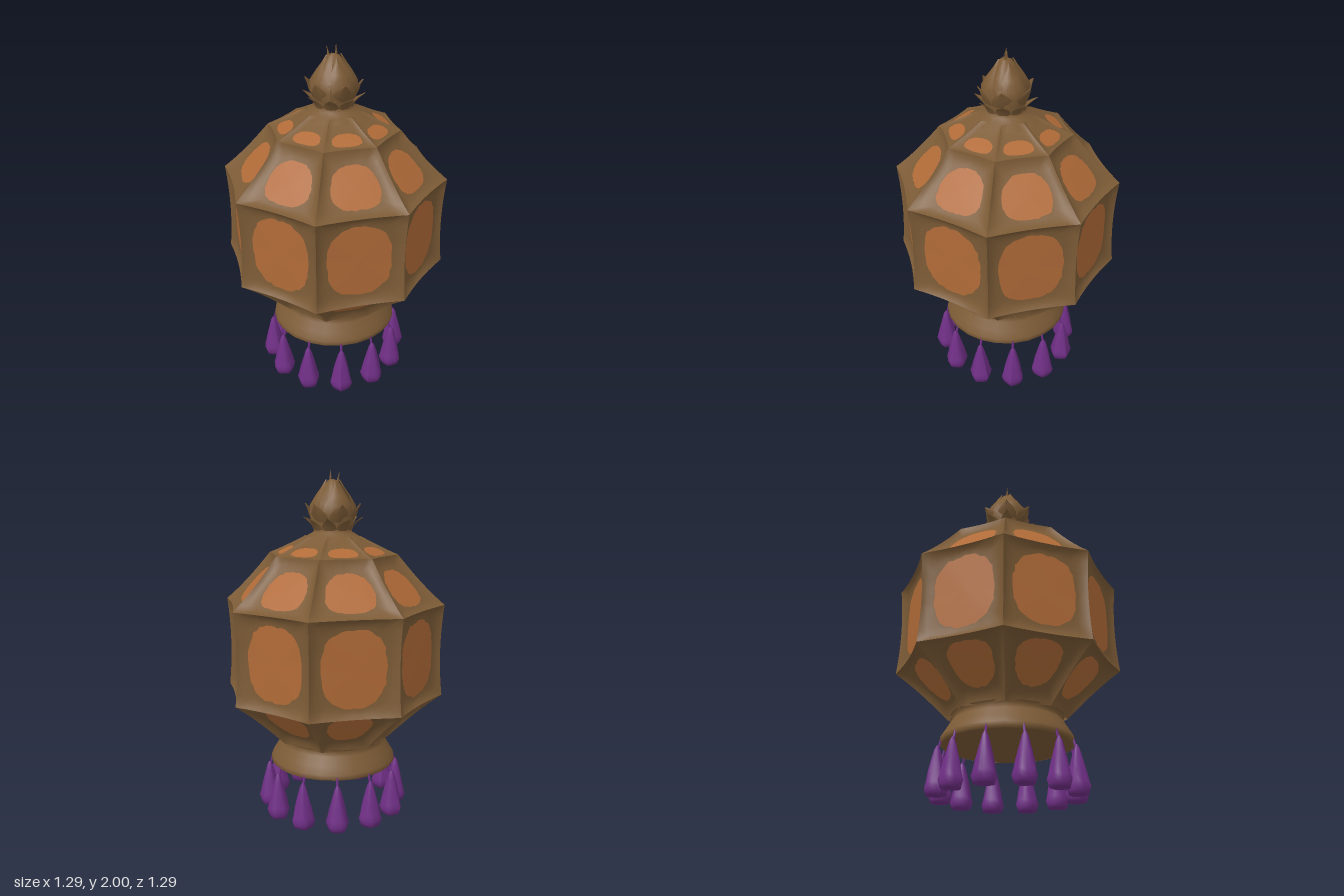
import * as THREE from 'three';

const brown = new THREE.MeshStandardMaterial({ color: 0x7c5b36, side: THREE.DoubleSide });
brown.name = 'aged bronze';
const amber = new THREE.MeshStandardMaterial({ color: 0xb16b38, side: THREE.DoubleSide });
amber.name = 'amber glass';
const purple = new THREE.MeshStandardMaterial({ color: 0x702f86, side: THREE.DoubleSide });
purple.name = 'purple silk';

const TAU = Math.PI * 2, SIDES = 8, N = 48;

// Small seeded generator for hand-made irregularity
let seed = 7;
const rand = () => (seed = (seed * 16807) % 2147483647) / 2147483647;

function add(parent, name, geometry, material) {
  const mesh = new THREE.Mesh(geometry, material);
  mesh.name = name;
  parent.add(mesh);
  return mesh;
}

function makeGeometry(points, index) {
  const g = new THREE.BufferGeometry();
  g.setAttribute('position', new THREE.Float32BufferAttribute(points, 3));
  g.setIndex(index);
  g.computeVertexNormals();
  return g;
}

function lathe(profile, segments) {
  return new THREE.LatheGeometry(profile.map(([r, y]) => new THREE.Vector2(r, y)), segments);
}

// One lantern facet facing +z: a dished frame around a rounded hole, and its glass pane
function facet({ y0, r0, y1, r1, a, b, vc, depth }) {
  const c = Math.cos(Math.PI / SIDES), s = Math.sin(Math.PI / SIDES);
  const normal = new THREE.Vector2(y1 - y0, (r0 - r1) * c).normalize(); // z, y
  const place = (u, v, d) => {
    const t = (v + 1) / 2, r = r0 + (r1 - r0) * t;
    const sag = 1 - 0.025 * (1 - u * u * v * v);
    return [u * r * s * sag, y0 + (y1 - y0) * t - normal.y * d, r * c * sag - normal.x * d];
  };
  const steps = [[0, 0], [0.12, 0.25], [0.4, 0.75], [0.75, 0.95], [1, 1]];
  const frame = [], frameIndex = [], pane = [...place(0, vc, depth * 0.9)], paneIndex = [];
  const wobble = Array.from({ length: N }, () => 0.97 + 0.06 * rand());
  steps.forEach(([t, d], k) => {
    for (let i = 0; i < N; i++) {
      const cs = Math.cos(i / N * TAU), sn = Math.sin(i / N * TAU);
      const m = Math.max(Math.abs(cs), Math.abs(sn));
      const e = wobble[i] / Math.pow(Math.abs(cs) ** 2.5 + Math.abs(sn) ** 2.5, 0.4);
      const u = THREE.MathUtils.lerp(cs / m, cs * e * a, t);
      const v = THREE.MathUtils.lerp(sn / m, vc + sn * e * b, t);
      const p = place(u, v, depth * d);
      frame.push(...p);
      const j = (i + 1) % N;
      if (k > 0) {
        const o = (k - 1) * N, n = k * N;
        frameIndex.push(o + i, o + j, n + j, o + i, n + j, n + i);
      }
      if (k === steps.length - 1) {
        pane.push(...p);
        paneIndex.push(0, i + 1, j + 1);
      }
    }
  });
  return [makeGeometry(frame, frameIndex), makeGeometry(pane, paneIndex)];
}

// Pointed leaf that follows a radius/height path, cupped around the axis
function leaf(path, width) {
  const pts = [], idx = [], cols = 4;
  path.forEach(([r, y], k) => {
    const t = k / (path.length - 1);
    const half = width * (1 - t ** 1.6) + 0.001;
    for (let i = 0; i <= cols; i++) {
      const w = (i / cols - 0.5) * 2;
      const ang = half * w;
      const rr = r + 0.008 * (1 - w * w);
      pts.push(Math.sin(ang) * rr, y, Math.cos(ang) * rr);
      if (k > 0 && i < cols) {
        const p = (k - 1) * (cols + 1) + i, q = p + cols + 1;
        idx.push(p, p + 1, q + 1, p, q + 1, q);
      }
    }
  });
  return makeGeometry(pts, idx);
}

function leafRing(parent, name, count, offset, path, width) {
  const g = leaf(path, width);
  for (let k = 0; k < count; k++) {
    const m = add(parent, name, g, brown);
    m.rotation.y = (k + offset) / count * TAU;
    m.scale.y = 1;
  }
}

export function createModel() {
  const model = new THREE.Group();
  model.name = 'hangingLantern';

  // Octagonal body in four bands
  const bands = [
    { name: 'lowerBand', y0: 0.44, r0: 0.335, y1: 0.72, r1: 0.645, a: 0.64, b: 0.68, vc: 0.1, depth: 0.03 },
    { name: 'middleBand', y0: 0.72, r0: 0.645, y1: 1.25, r1: 0.645, a: 0.74, b: 0.79, vc: 0, depth: 0.025 },
    { name: 'upperBand', y0: 1.25, r0: 0.645, y1: 1.53, r1: 0.375, a: 0.68, b: 0.66, vc: -0.05, depth: 0.025 },
    { name: 'capBand', y0: 1.53, r0: 0.375, y1: 1.63, r1: 0.16, a: 0.7, b: 0.42, vc: -0.35, depth: 0.008 },
  ];
  for (const band of bands) {
    const group = new THREE.Group();
    group.name = band.name;
    model.add(group);
    for (let k = 0; k < SIDES; k++) {
      const [frame, pane] = facet(band);
      for (const m of [add(group, 'facetFrame', frame, brown), add(group, 'glassPane', pane, amber)]) {
        m.rotation.y = (k + 0.5) / SIDES * TAU;
      }
    }
  }

  // Flared collar with a closed underside
  add(model, 'collar', lathe([[0.36, 0.285], [0.374, 0.295], [0.37, 0.32], [0.345, 0.36],
    [0.315, 0.41], [0.3, 0.435], [0.32, 0.45]], 24), brown);
  add(model, 'collarBase', lathe([[0, 0.288], [0.362, 0.286]], 24), brown);

  // Finial: neck, bud, two tiers of leaves and a pair of curled tips
  const finial = new THREE.Group();
  finial.name = 'finial';
  model.add(finial);
  add(finial, 'neck', lathe([[0.19, 1.605], [0.15, 1.63], [0.115, 1.65], [0.105, 1.67],
    [0.11, 1.7], [0.115, 1.74]], 16), brown);
  const bud = lathe([[0.115, 1.7], [0.125, 1.76], [0.115, 1.81], [0.085, 1.855],
    [0.055, 1.9], [0.03, 1.935], [0.001, 1.945]], 18);
  const bp = bud.attributes.position;
  for (let i = 0; i < bp.count; i++) {
    const x = bp.getX(i), y = bp.getY(i), z = bp.getZ(i);
    const f = 1 + 0.09 * Math.cos(3 * Math.atan2(x, z) + (y - 1.7) * 9);
    bp.setXYZ(i, x * f, y, z * f);
  }
  bud.computeVertexNormals();
  add(finial, 'bud', bud, brown);
  leafRing(finial, 'lowerLeaf', 8, 0, [[0.1, 1.66], [0.115, 1.69], [0.135, 1.71], [0.168, 1.735]], 0.42);
  leafRing(finial, 'upperLeaf', 6, 0.5, [[0.11, 1.71], [0.13, 1.75], [0.138, 1.78], [0.155, 1.81]], 0.55);
  leafRing(finial, 'budLeaf', 4, 0.3, [[0.125, 1.75], [0.125, 1.8], [0.095, 1.85], [0.06, 1.9], [0.035, 1.94]], 0.75);
  for (const [x0, x1, top] of [[-0.02, -0.038, 1.985], [0.015, 0.012, 2.0]]) {
    const tip = add(finial, 'curledTip', new THREE.ConeGeometry(0.014, top - 1.89, 6), brown);
    tip.position.set((x0 + x1) / 2, (top + 1.89) / 2, 0);
    tip.rotation.z = Math.atan2(x0 - x1, top - 1.89);
  }

  // Twelve tassels hanging around the collar
  const skirt = lathe([[0.001, 0.012], [0.035, 0.008], [0.052, 0.001], [0.057, 0.02], [0.064, 0.042],
    [0.057, 0.065], [0.047, 0.12], [0.034, 0.175], [0.024, 0.215], [0.016, 0.245], [0.004, 0.268]], 15);
  const sp = skirt.attributes.position;
  for (let i = 0; i < sp.count; i++) {
    const x = sp.getX(i), y = sp.getY(i), z = sp.getZ(i);
    const f = 1 + 0.08 * Math.cos(5 * Math.atan2(x, z) + y * 8);
    sp.setXYZ(i, x * f, y, z * f);
  }
  skirt.computeVertexNormals();
  const cord = new THREE.TubeGeometry(new THREE.LineCurve3(
    new THREE.Vector3(0, 0.235, 0), new THREE.Vector3(0, 0.31, -0.02)), 1, 0.007, 6);
  for (let k = 0; k < 12; k++) {
    const tassel = new THREE.Group();
    tassel.name = 'tassel';
    const angle = (k + 0.5) / 12 * TAU;
    tassel.position.set(Math.sin(angle) * 0.385, 0, Math.cos(angle) * 0.385);
    tassel.rotation.y = angle;
    add(tassel, 'tasselSkirt', skirt, purple).rotation.y = rand() * TAU;
    add(tassel, 'tasselCord', cord, purple);
    model.add(tassel);
  }
  return model;
}
